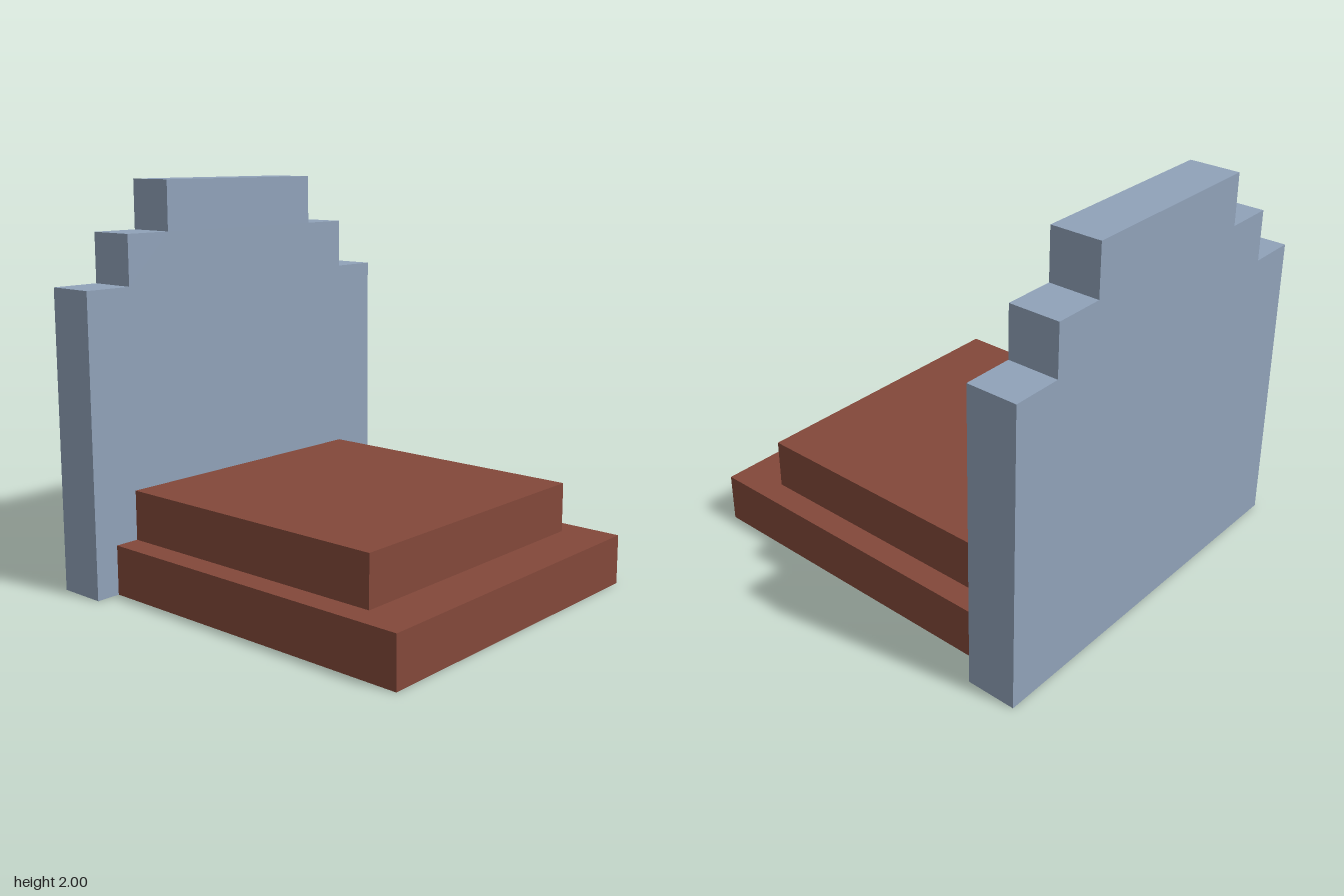
import * as THREE from 'three';

export function createModel() {
  const model = new THREE.Group();
  const stone = new THREE.MeshStandardMaterial({ color: 0x90a2b9 });
  stone.name = 'blueGreyStone';
  const earth = new THREE.MeshStandardMaterial({ color: 0x83483a });
  earth.name = 'redBrownEarth';

  // Upright slab with a stepped top, as a mirrored outline
  const half = [[1, 0], [1, 1.5], [0.75, 1.5], [0.75, 1.75], [0.5, 1.75], [0.5, 2]];
  const outline = [...half, ...half.map(([x, y]) => [-x, y]).reverse()];
  const shape = new THREE.Shape(outline.map(([x, y]) => new THREE.Vector2(x, y)));
  const slab = new THREE.ExtrudeGeometry(shape, { depth: 0.25, bevelEnabled: false });
  slab.rotateY(Math.PI / 2);
  const headstone = new THREE.Mesh(slab, stone);
  headstone.name = 'headstone';
  headstone.position.x = -1;
  model.add(headstone);

  // Two-tier mound, both tiers starting at the slab's face
  const addTier = (name, length, width, y) => {
    const tier = new THREE.Mesh(new THREE.BoxGeometry(length, 0.25, width), earth);
    tier.name = name;
    tier.position.set(-0.75 + length / 2, y + 0.125, 0);
    model.add(tier);
  };
  addTier('lowerMound', 1.75, 1.75, 0);
  addTier('upperMound', 1.5, 1.5, 0.25);

  return model;
}
